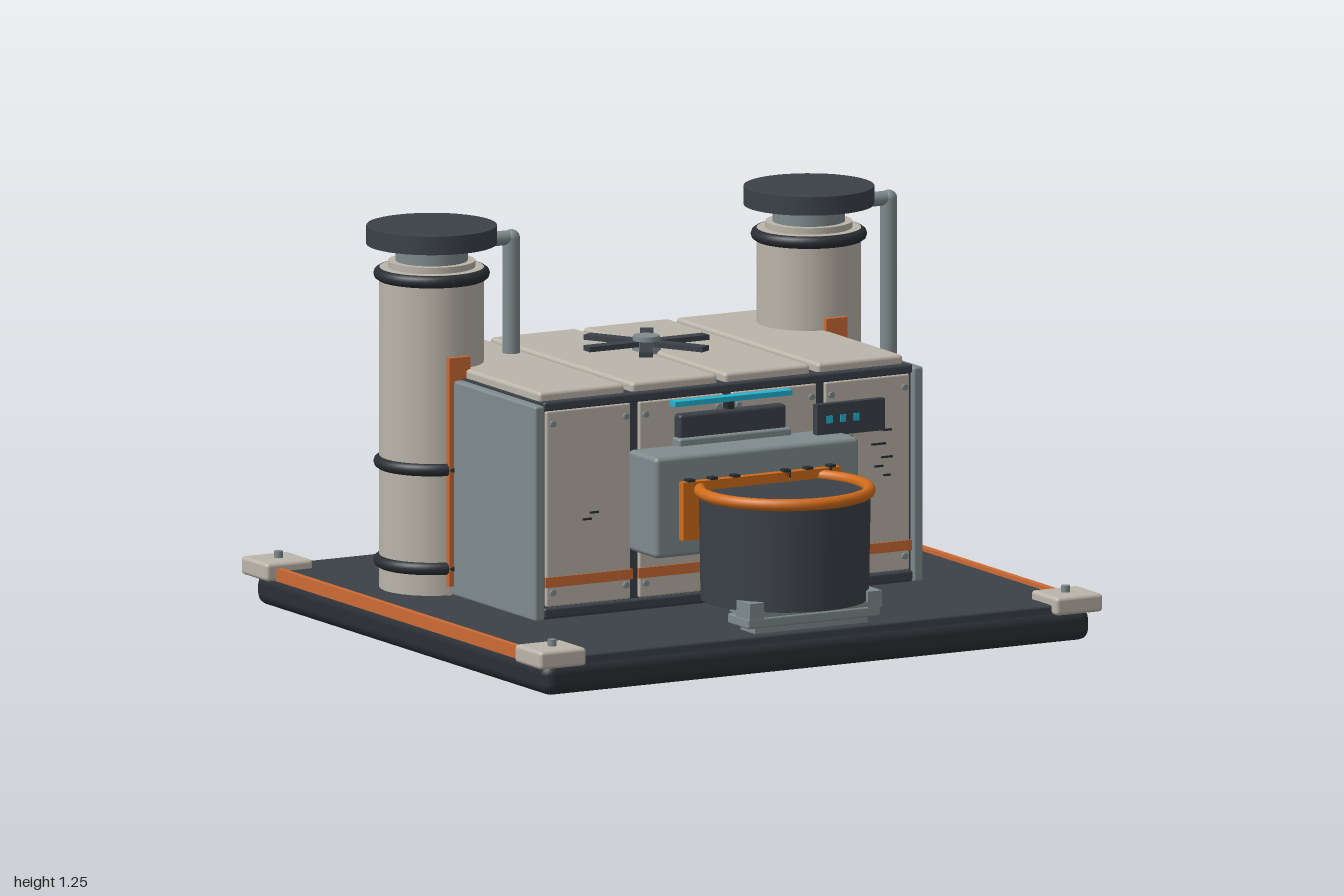
import * as THREE from 'three';
import { RoundedBoxGeometry } from 'three/addons/geometries/RoundedBoxGeometry.js';

const mat = (name, color) => {
  const m = new THREE.MeshStandardMaterial({ color });
  m.name = name;
  return m;
};

export function createModel() {
  const beige = mat('warm panel', 0xbbb5a9);
  const grey = mat('steel grey', 0x7f8b8d);
  const dark = mat('dark metal', 0x3b4148);
  const rubber = mat('rubber black', 0x2a2e34);
  const orange = mat('orange paint', 0xcc6a34);
  const amber = mat('orange rim', 0xcf6b1a);
  const cyan = mat('cyan glow', 0x22b4d0);
  const root = new THREE.Group();
  root.name = 'processingStation';

  const add = (name, geo, m, x, y, z, parent = root) => {
    const mesh = new THREE.Mesh(geo, m);
    mesh.name = name;
    mesh.position.set(x, y, z);
    parent.add(mesh);
    return mesh;
  };
  // Boxes given by their limits on each axis; r > 0 rounds the edges
  const box = (name, m, [x0, x1], [y0, y1], [z0, z1], r = 0, parent = root) => {
    const s = [x1 - x0, y1 - y0, z1 - z0];
    const geo = r ? new RoundedBoxGeometry(...s, 2, r) : new THREE.BoxGeometry(...s);
    return add(name, geo, m, (x0 + x1) / 2, (y0 + y1) / 2, (z0 + z1) / 2, parent);
  };
  const cyl = (name, m, r0, r1, y0, y1, x, z, n = 32, parent = root) =>
    add(name, new THREE.CylinderGeometry(r1, r0, y1 - y0, n), m, x, (y0 + y1) / 2, z, parent);
  const ring = (name, m, r, tube, x, y, z, parent = root) => {
    const mesh = add(name, new THREE.TorusGeometry(r, tube, 10, 40), m, x, y, z, parent);
    mesh.rotation.x = Math.PI / 2;
    return mesh;
  };

  // Base slab, deck and edge strips
  box('baseSlab', rubber, [-0.97, 0.97], [0, 0.1], [-0.93, 0.89], 0.035);
  box('deck', dark, [-0.945, 0.945], [0.08, 0.12], [-0.915, 0.875], 0.008);
  for (const s of [-1, 1]) {
    box('edgeStrip', orange, [s * 0.955 - 0.01, s * 0.955 + 0.01], [0.09, 0.13], [-0.82, 0.76]);
    for (const z of [-0.88, 0.825]) {
      box('cornerBlock', beige, [s * 0.917 - 0.083, s * 0.917 + 0.083], [0.09, 0.147], [z - 0.082, z + 0.082], 0.012);
      cyl('cornerBolt', grey, 0.014, 0.014, 0.14, 0.168, s * 0.912, z, 12);
    }
  }

  // Main housing
  box('housingCore', dark, [-0.66, 0.66], [0.12, 0.8], [-0.635, 0.31]);
  for (const s of [-1, 1])
    box('sidePanel', grey, [s * 0.6725 - 0.0175, s * 0.6725 + 0.0175], [0.12, 0.795], [-0.65, 0.33], 0.008);
  for (const z of [-0.635, 0.31]) {
    box('topRail', dark, [-0.655, 0.655], [0.775, 0.805], [z - 0.015, z + 0.015], 0.008);
    box('bottomRail', dark, [-0.655, 0.655], [0.125, 0.158], [z - 0.018, z + 0.018], 0.008);
  }
  for (let i = 0; i < 4; i++) {
    const x = -0.495 + i * 0.33, w = 0.15;
    box('roofPanel', beige, [x - w - 0.002, x + w + 0.002], [0.785, 0.828], [-0.61, 0.28], 0.012);
    for (const [z, s] of [[0.312, 1], [-0.637, -1]]) {
      box('wallPanel', beige, [x - w, x + w], [0.16, 0.775], [z - 0.01, z + 0.01], 0.006);
      box('wallStripe', orange, [x - w - 0.005, x + w + 0.005], [0.222, 0.254], [z + s * 0.011 - 0.004, z + s * 0.011 + 0.004]);
      for (const dx of [-0.13, 0.13]) for (const y of [0.205, 0.735]) {
        const bolt = add('panelBolt', new THREE.CylinderGeometry(0.01, 0.01, 0.016, 10), grey, x + dx, y, z + s * 0.012);
        bolt.rotation.x = Math.PI / 2;
      }
    }
  }

  // Roof fan
  const fan = new THREE.Group();
  fan.name = 'roofFan';
  fan.position.set(0, 0, -0.187);
  root.add(fan);
  cyl('fanHub', grey, 0.045, 0.042, 0.82, 0.873, 0, 0, 24, fan);
  for (let i = 0; i < 6; i++) {
    const arm = new THREE.Group();
    arm.name = 'fanArm';
    arm.rotation.y = i * Math.PI / 3;
    fan.add(arm);
    box('fanBlade', dark, [0.03, 0.212], [0.842, 0.858], [-0.021, 0.021], 0, arm);
  }

  // Exhaust towers with caps, bands and downpipes
  for (const x of [-0.67, 0.67]) {
    const tower = new THREE.Group();
    tower.name = 'exhaustTower';
    tower.position.set(x, 0, -0.35);
    root.add(tower);
    cyl('towerShaft', beige, 0.162, 0.162, 0.12, 1.125, 0, 0, 28, tower);
    cyl('towerCollar', beige, 0.135, 0.135, 1.12, 1.145, 0, 0, 28, tower);
    cyl('towerNeck', grey, 0.112, 0.112, 1.14, 1.182, 0, 0, 28, tower);
    cyl('towerThroat', dark, 0.085, 0.085, 1.18, 1.205, 0, 0, 28, tower);
    cyl('towerCap', dark, 0.202, 0.202, 1.197, 1.255, 0, 0, 40, tower);
    for (const y of [0.205, 0.515, 1.105]) ring('towerBand', rubber, 0.16, 0.02, 0, y, 0, tower);
    box('towerPlate', orange, [-0.037, 0.037], [0.15, 0.867], [0.158, 0.176], 0, tower);
    const run = cyl('pipeRun', grey, 0.023, 0.023, 0, 0.2, 0, 0, 16, tower);
    run.rotation.z = Math.PI / 2;
    run.position.set(0.183, 1.19, 0);
    add('pipeElbow', new THREE.SphereGeometry(0.027, 16, 12), grey, 0.283, 1.188, 0, tower);
    cyl('downPipe', grey, 0.027, 0.027, 0.25, 1.188, 0.283, 0, 16, tower);
  }

  // Furnace mouth block and hood
  box('mouthBlock', grey, [-0.362, 0.362], [0.315, 0.632], [0.33, 0.508], 0.015);
  box('hoodBase', grey, [-0.2, 0.2], [0.62, 0.655], [0.32, 0.37], 0.008);
  box('hoodWindow', dark, [-0.19, 0.19], [0.635, 0.727], [0.31, 0.355], 0.01);
  box('hoodTab', rubber, [-0.012, 0.012], [0.72, 0.76], [0.315, 0.34]);
  box('lightStrip', cyan, [-0.208, 0.208], [0.754, 0.77], [0.32, 0.358]);
  box('mouthPlate', amber, [-0.28, 0.28], [0.37, 0.552], [0.5, 0.535]);
  for (const x of [-0.25, -0.17, -0.09, 0.09, 0.17, 0.25])
    box('mouthTooth', rubber, [x - 0.012, x + 0.012], [0.535, 0.56], [0.505, 0.535]);
  box('mouthValve', rubber, [0.26, 0.35], [0.285, 0.32], [0.42, 0.48]);

  // Crucible with rim and stand
  cyl('crucible', dark, 0.26, 0.266, 0.19, 0.522, 0, 0.675, 40);
  ring('crucibleRim', amber, 0.262, 0.019, 0, 0.528, 0.675);
  box('standPlate', grey, [-0.235, 0.235], [0.14, 0.172], [0.73, 0.86], 0.006);
  box('standShelf', grey, [-0.225, 0.225], [0.175, 0.19], [0.73, 0.87]);
  box('standFoot', grey, [-0.2, 0.2], [0.118, 0.142], [0.75, 0.84]);
  for (const s of [-1, 1])
    box('standClamp', grey, [s * 0.21 - 0.025, s * 0.21 + 0.025], [0.17, 0.222], [0.785, 0.87]);

  // Front readout with three lamps
  box('readout', dark, [0.262, 0.503], [0.627, 0.727], [0.393, 0.418]);
  for (const x of [0.305, 0.352, 0.4])
    box('readoutLamp', cyan, [x - 0.01, x + 0.01], [0.667, 0.69], [0.416, 0.422]);

  // Small scuff marks on the front
  for (const [x, y, w] of [[-0.51, 0.457, 0.03], [-0.535, 0.438, 0.03], [0.39, 0.61, 0.03], [0.53, 0.62, 0.03],
    [0.5, 0.578, 0.05], [0.4, 0.55, 0.03], [0.53, 0.535, 0.04], [0.5, 0.508, 0.03], [0.53, 0.478, 0.025]])
    box('scuffMark', rubber, [x - w / 2, x + w / 2], [y - 0.003, y + 0.003], [0.38, 0.386]);

  // Control terminal on the left wall
  box('terminal', rubber, [0.685, 0.75], [0.267, 0.547], [0.003, 0.207], 0.015);
  box('terminalScreen', cyan, [0.748, 0.757], [0.43, 0.515], [0.04, 0.172]);
  for (const y of [0.4, 0.368, 0.336, 0.304])
    box('terminalKeys', grey, [0.748, 0.753], [y - 0.004, y + 0.004], [0.04, 0.172]);

  return root;
}
